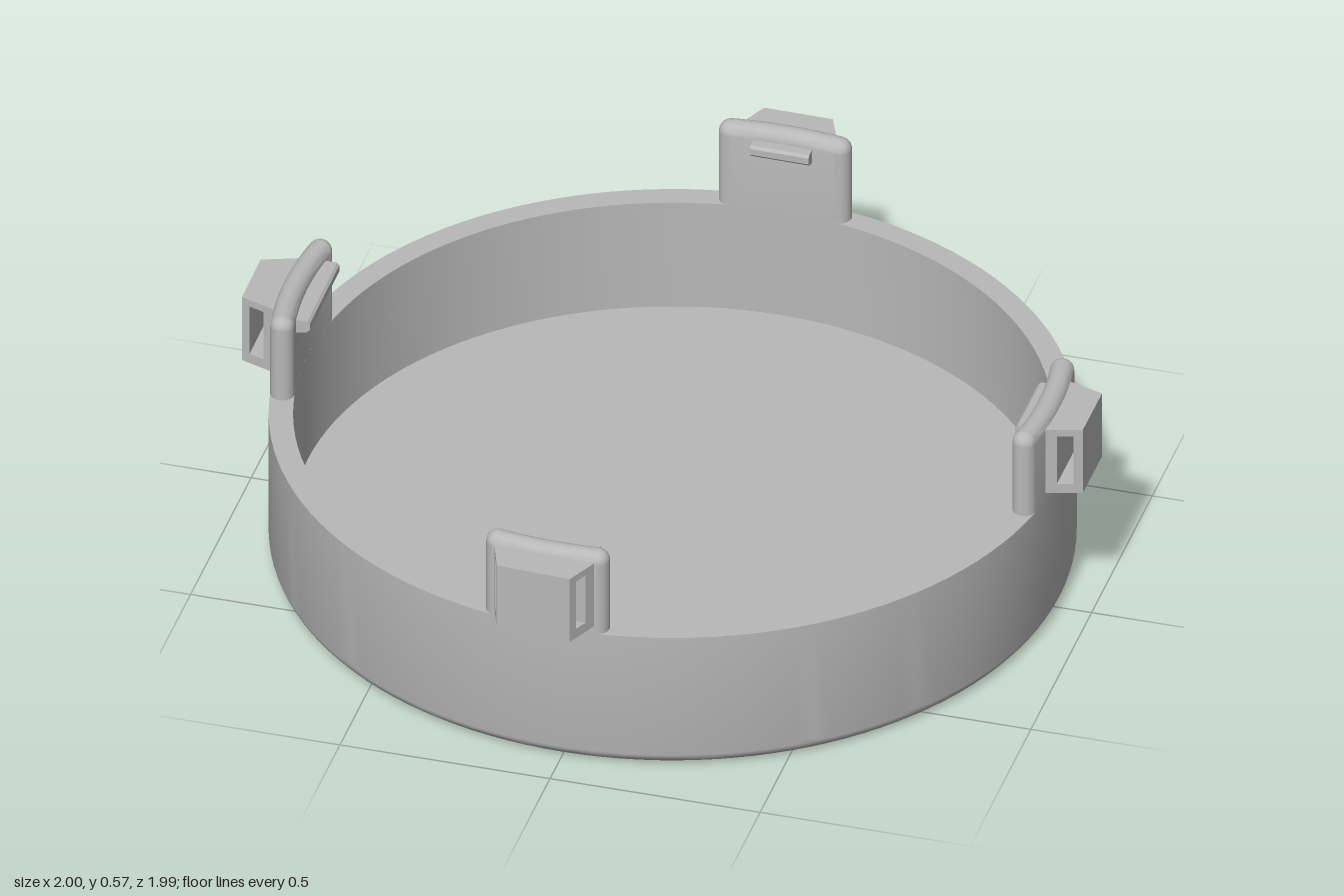
import * as THREE from 'three';
import { toCreasedNormals } from 'three/addons/utils/BufferGeometryUtils.js';

const OUTER = 0.924, INNER = 0.868, RIM = 0.355, TOP = 0.57;
const MID = (OUTER + INNER) / 2, HALF = (OUTER - INNER) / 2;

const grey = new THREE.MeshStandardMaterial({ color: 0xb8b8b8 });
grey.name = 'grey plastic';

function part(name, geometry) {
  const mesh = new THREE.Mesh(geometry, grey);
  mesh.name = name;
  return mesh;
}

// Points of a circular arc
function arc(cx, cy, r, from, to, n) {
  return Array.from({ length: n + 1 }, (_, i) => {
    const a = from + (to - from) * i / n;
    return new THREE.Vector2(cx + r * Math.cos(a), cy + r * Math.sin(a));
  });
}

// Closed (radius, height) profile extruded along x, its half width following a rule
function prism(points, hole, halfWidth) {
  const shape = new THREE.Shape(points.map(p => new THREE.Vector2(...p)));
  if (hole) shape.holes.push(new THREE.Path(hole.map(p => new THREE.Vector2(...p))));
  const geo = new THREE.ExtrudeGeometry(shape, { depth: 2, bevelEnabled: false });
  geo.translate(0, 0, -1);
  geo.rotateY(-Math.PI / 2); // radius to +z, extrusion to -x
  const pos = geo.attributes.position;
  for (let i = 0; i < pos.count; i++) pos.setX(i, pos.getX(i) * halfWidth(pos.getZ(i)));
  geo.computeVertexNormals();
  return geo;
}

const rect = (r0, r1, y0, y1) => [[r0, y0], [r1, y0], [r1, y1], [r0, y1]];

// Upright tab with a strap loop outside and a small catch inside, built facing +z
function makeClip({ name, angle, tab, base, tip, reach, hook, hookReach }) {
  const clip = new THREE.Group();
  clip.name = name;

  // Curved tab with a rounded top edge
  const profile = [new THREE.Vector2(OUTER, RIM), ...arc(MID, TOP - HALF, HALF, 0, Math.PI, 10), new THREE.Vector2(INNER, RIM)];
  const sweep = Math.asin((tab - HALF) / MID);
  clip.add(part('tab', toCreasedNormals(new THREE.LatheGeometry(profile, 16, -sweep, sweep * 2), 0.6)));

  // Rounded tab ends
  const endProfile = [new THREE.Vector2(HALF, RIM), ...arc(0, TOP - HALF, HALF, 0, Math.PI / 2, 6)];
  for (const side of [-1, 1]) {
    const end = part('tabEnd', new THREE.LatheGeometry(endProfile, 20));
    end.position.set(side * MID * Math.sin(sweep), 0, MID * Math.cos(sweep));
    clip.add(end);
  }

  // Tapered strap loop with a slot through it sideways
  const taper = r => THREE.MathUtils.mapLinear(r, OUTER, reach, base, tip);
  clip.add(part('strapLoop', prism(rect(0.9, reach, 0.375, 0.548), rect(0.943, reach - 0.02, 0.4, 0.53), taper)));

  // Inner catch with chamfered nose
  clip.add(part('catch', prism([
    [MID, 0.5], [INNER, 0.505], [hookReach + 0.008, 0.51], [hookReach, 0.518],
    [hookReach, 0.534], [hookReach + 0.006, 0.54], [MID, 0.54],
  ].reverse(), null, () => hook)));

  clip.rotation.y = THREE.MathUtils.degToRad(angle);
  return clip;
}

export function createModel() {
  const model = new THREE.Group();
  model.name = 'roundTray';
  model.position.z = 0;

  const body = new THREE.Group();
  body.name = 'trayWithClips';
  body.position.z = -0.011;
  model.add(body);

  // Shallow bowl with a rounded bottom edge
  const r = 0.04;
  const bowl = [
    new THREE.Vector2(0, 0),
    ...arc(OUTER - r, r, r, -Math.PI / 2, 0, 8),
    new THREE.Vector2(OUTER, RIM), new THREE.Vector2(INNER, RIM),
    new THREE.Vector2(INNER, 0.07), new THREE.Vector2(0, 0.07),
  ];
  body.add(part('bowl', toCreasedNormals(new THREE.LatheGeometry(bowl, 128), 0.6)));

  // Four clips around the rim, each of a slightly different width
  const clips = [
    { name: 'frontClip', angle: -2.6, tab: 0.148, base: 0.117, tip: 0.088, reach: 0.995, hook: 0.107, hookReach: 0.828 },
    { name: 'leftClip', angle: 89.8, tab: 0.18, base: 0.102, tip: 0.078, reach: 1.0, hook: 0.094, hookReach: 0.843 },
    { name: 'backClip', angle: 179.2, tab: 0.158, base: 0.11, tip: 0.082, reach: 0.989, hook: 0.07, hookReach: 0.837 },
    { name: 'rightClip', angle: -89.4, tab: 0.188, base: 0.107, tip: 0.08, reach: 1.0, hook: 0.127, hookReach: 0.826 },
  ];
  for (const clip of clips) body.add(makeClip(clip));

  return model;
}
